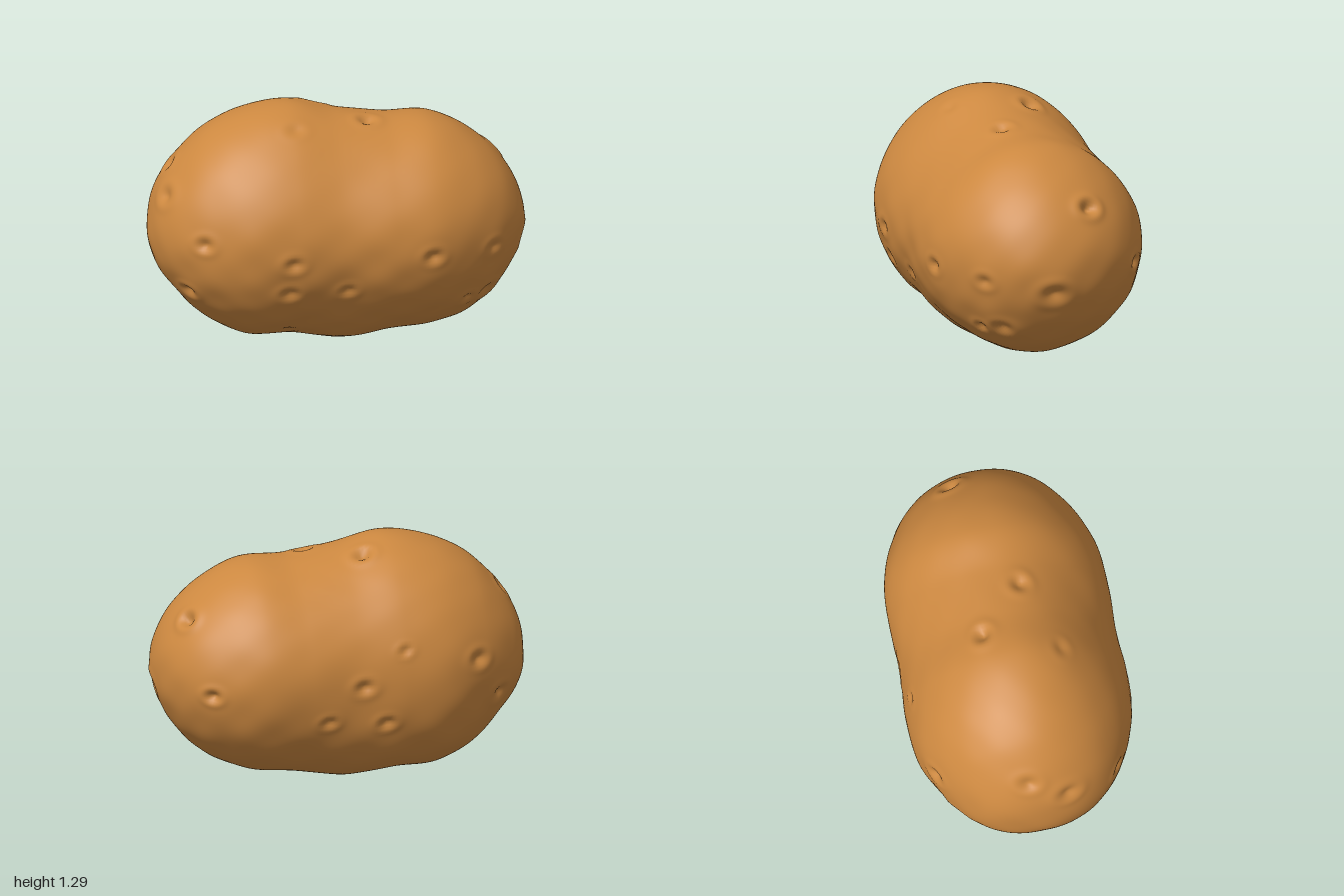
import * as THREE from 'three';
import { mergeVertices } from 'three/addons/utils/BufferGeometryUtils.js';

// Silhouette stations, every 15 degrees from the right end (-x) to the left end (+x)
const TOP = [0.82, 0.99, 1.147, 1.25, 1.293, 1.238, 1.2, 1.195, 1.1, 0.96, 0.795];
const BOTTOM = [0.447, 0.3, 0.147, 0.047, 0.04, 0.003, 0.04, 0.065, 0.147, 0.297, 0.468];
const FRONT = [0.2, 0.365, 0.485, 0.57, 0.59, 0.573, 0.58, 0.55, 0.46, 0.335, 0.18];
const BACK = [0.21, 0.36, 0.487, 0.58, 0.6, 0.588, 0.6, 0.583, 0.5, 0.375, 0.2];

const midY = (x) => 0.628 + 0.008 * x;

// Smooth curve of half-sizes divided by those of a unit sphere
function ratioCurve(sizes) {
  const f = sizes.map((s, i) => s / Math.sin((i + 1) * Math.PI / 12));
  const all = [f[0], ...f, f[f.length - 1]];
  const curve = new THREE.SplineCurve(all.map((v, i) => new THREE.Vector2(i, v)));
  return (t) => curve.getPoint(t).y;
}
const stationX = (i) => -Math.cos((i + 1) * Math.PI / 12);
const up = ratioCurve(TOP.map((v, i) => v - midY(stationX(i))));
const down = ratioCurve(BOTTOM.map((v, i) => midY(stationX(i)) - v));
const front = ratioCurve(FRONT);
const back = ratioCurve(BACK);

// Eyes: x, y, z near the skin, radius, depth
const EYES = [
  [-0.3, 0.575, 0.59, 0.035, 0.02], [0.45, 0.575, 0.56, 0.035, 0.022],
  [-0.31, 0.4, 0.54, 0.035, 0.018], [0, 0.41, 0.53, 0.03, 0.015],
  [-0.75, 0.66, 0.46, 0.035, 0.022], [-0.82, 0.36, 0.3, 0.035, 0.022],
  [0.66, 0.29, 0.36, 0.028, 0.018], [0.8, 0.57, 0.4, 0.035, 0.016],
  [-0.3, 0.12, 0.3, 0.03, 0.012], [-0.9, 0.84, 0.15, 0.045, 0.02],
  [0.85, 0.95, -0.18, 0.038, 0.04], [0.99, 0.525, 0.06, 0.05, 0.026],
  [0.78, 0.6, -0.45, 0.032, 0.028], [0.8, 0.28, 0.3, 0.04, 0.02],
  [-0.1, 1.23, -0.17, 0.036, 0.034], [0.16, 1.19, 0.08, 0.035, 0.026],
  [-0.25, 1.22, 0.25, 0.035, 0.01], [-0.02, 0.63, -0.58, 0.035, 0.024],
  [-0.65, 0.71, -0.5, 0.038, 0.024], [-0.24, 0.8, -0.56, 0.025, 0.016],
  [0.17, 0.45, -0.55, 0.03, 0.018], [-0.14, 0.43, -0.55, 0.032, 0.022],
  [-0.78, 0.49, -0.38, 0.04, 0.024], [-0.87, 0.95, -0.05, 0.04, 0.02],
];

// Place a unit-sphere point on the potato's smooth body
function shapeBody(p) {
  const { x, y, z } = p;
  const t = Math.acos(THREE.MathUtils.clamp(-x, -1, 1)) / Math.PI;
  const corner = 4 * y * y * z * z;
  let k = 1;
  if (y > 0) k += (z > 0 ? -0.05 : -0.025) * corner;
  else if (z < 0) k += 0.07 * corner * (1 - THREE.MathUtils.smoothstep(x, -0.3, 0.5));
  else k -= 0.015 * corner;
  return p.set(
    x,
    midY(x) + k * y * (y > 0 ? up(t) : down(t)),
    k * z * (z > 0 ? front(t) : back(t))
  );
}

// Faint unevenness, stronger on the lower half
function lumps(p) {
  const low = 1 - 0.7 * THREE.MathUtils.smoothstep(p.y, 0.4, 0.9);
  const a = Math.sin(9 * p.x + 4 * p.z) * Math.sin(11 * p.y - 3 * p.x + 1);
  const b = Math.sin(19 * p.x + 2) * Math.sin(23 * p.y + 7 * p.z) * Math.sin(17 * p.z + 1);
  return low * (0.0035 * a + 0.004 * b);
}

function potatoGeometry() {
  let geo = new THREE.SphereGeometry(1, 220, 180);
  geo.rotateZ(-Math.PI / 2);
  geo.deleteAttribute('uv');
  geo.deleteAttribute('normal');
  geo = mergeVertices(geo, 1e-5);
  const pos = geo.attributes.position;
  const points = [];
  for (let i = 0; i < pos.count; i++) {
    const p = shapeBody(new THREE.Vector3().fromBufferAttribute(pos, i));
    points.push(p);
    pos.setXYZ(i, p.x, p.y, p.z);
  }
  geo.computeVertexNormals();

  // Snap each eye to the skin
  const eyes = EYES.map(([x, y, z, r, depth]) => {
    const c = new THREE.Vector3(x, y, z);
    let best = points[0];
    for (const p of points) if (p.distanceToSquared(c) < best.distanceToSquared(c)) best = p;
    return { c: best.clone(), r, depth };
  });

  // Press the eyes in, each with a low brow above it
  const n = new THREE.Vector3();
  points.forEach((p, i) => {
    let h = lumps(p);
    for (const { c, r, depth } of eyes) {
      const dx = p.x - c.x, dy = p.y - c.y, dz = p.z - c.z;
      const d2 = (dx * dx + 1.8 * dy * dy + dz * dz) / (r * r);
      if (d2 > 16) continue;
      const d = Math.sqrt(d2);
      h -= depth * Math.exp(-d2);
      h += 0.2 * depth * Math.exp(-((d - 2) ** 2) * 1.5);
    }
    n.fromBufferAttribute(geo.attributes.normal, i);
    p.addScaledVector(n, h);
    pos.setXYZ(i, p.x, Math.max(p.y, 0), p.z);
  });
  geo.computeVertexNormals();
  return geo;
}

export function createModel() {
  const skin = new THREE.MeshStandardMaterial({ color: 0xcc8840 });
  skin.name = 'potato skin';
  const potato = new THREE.Mesh(potatoGeometry(), skin);
  potato.name = 'potato';
  const group = new THREE.Group();
  group.name = 'potatoModel';
  group.add(potato);
  return group;
}
